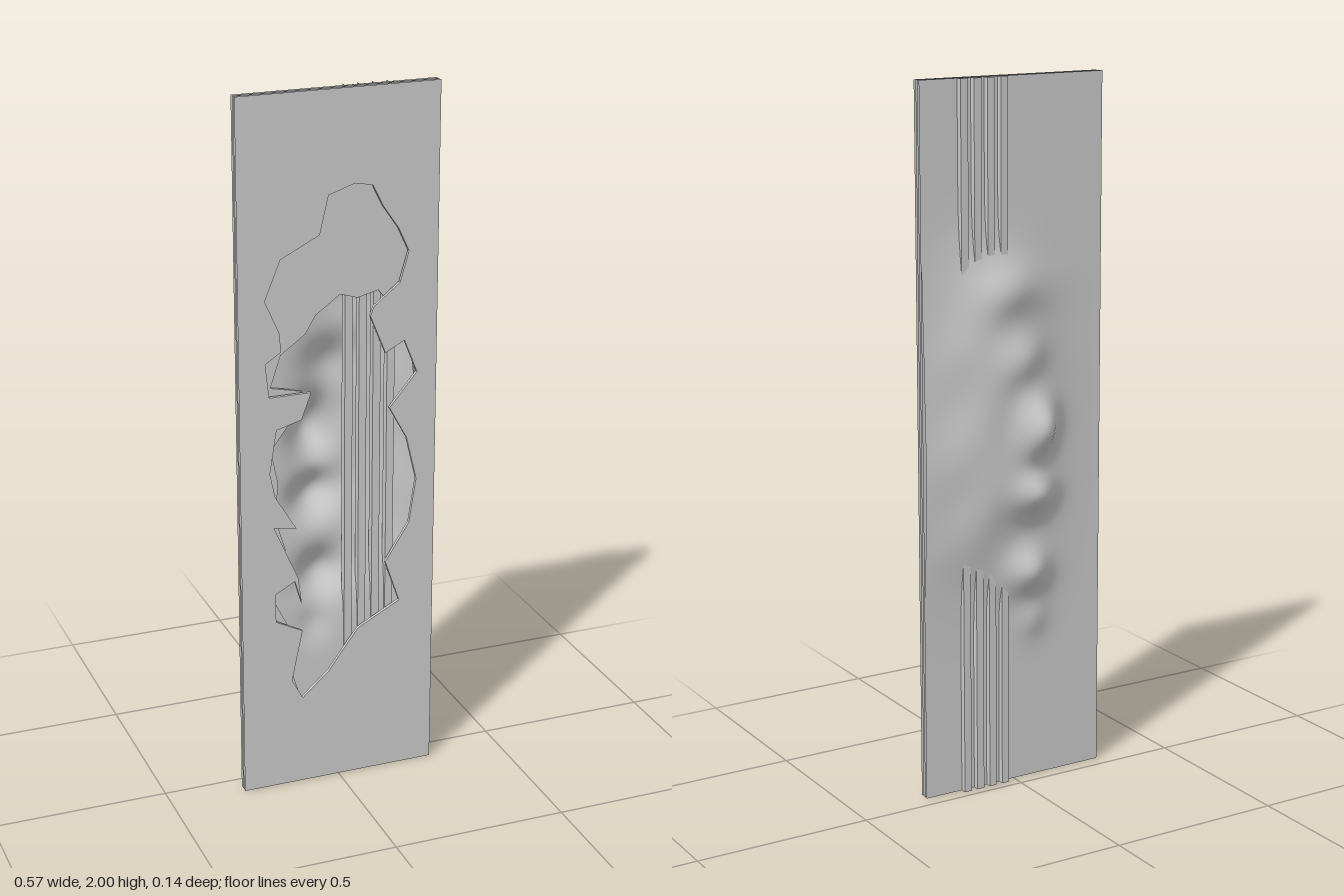
import * as THREE from 'three';

const grey = new THREE.MeshStandardMaterial({ color: 0xcccccc });
const greyDouble = new THREE.MeshStandardMaterial({ color: 0xcccccc, side: THREE.DoubleSide });
const greyFlat = new THREE.MeshStandardMaterial({ color: 0xcccccc, flatShading: true });

const W = 0.57, H = 2;

// Ragged openings, clockwise from the top, in hundredths of a unit
const FRONT_HOLE = [
  [-3, 172], [4.5, 174.5], [9.5, 173.5], [12.5, 167.5], [17, 161], [20, 154.5], [17.5, 146],
  [10, 140], [9, 137.5], [13.5, 126.5], [19, 129.5], [22.8, 120], [14.8, 110.5], [20, 101],
  [23, 88.5], [21, 75.5], [14, 64.5], [18.3, 52], [6, 45.5], [2.5, 41], [-3, 33.5], [-10.8, 26.5],
  [-14, 32.5], [-10.8, 47.5], [-18.6, 51.5], [-18.6, 60], [-13, 63], [-11, 56], [-12, 64], [-19, 80],
  [-12.5, 79], [-18.5, 89], [-20, 96], [-18, 108.5], [-10.8, 110.5], [-8, 118], [-20, 118],
  [-21, 127.5], [-16.5, 130.5], [-17, 136], [-21, 145], [-16.5, 156], [-5.5, 161.5]];
const REAR_HOLE = [
  [1, 144], [6, 142.5], [12, 144], [18, 136], [22, 126], [24, 108], [25, 88], [22, 66], [20, 48],
  [9, 36], [-2, 24], [-9, 20], [-14, 36], [-13, 46], [-18, 56], [-18, 64], [-15, 72], [-18, 82],
  [-17, 92], [-19, 102], [-13, 110], [-10, 118], [-19, 120], [-16, 129], [-9, 134], [-6, 139]];

// Thin sheet: two pierced faces and the cut wall of the opening
function pierced(name, outline, zBack, zFront) {
  const group = new THREE.Group();
  group.name = name;
  const pts = outline.map(([x, y]) => new THREE.Vector2(x / 100, y / 100));
  const shape = new THREE.Shape([
    new THREE.Vector2(-W / 2, 0), new THREE.Vector2(W / 2, 0),
    new THREE.Vector2(W / 2, H), new THREE.Vector2(-W / 2, H)]);
  shape.holes.push(new THREE.Path(pts));
  for (const z of [zBack, zFront]) {
    const face = new THREE.Mesh(new THREE.ShapeGeometry(shape), greyDouble);
    face.name = z === zFront ? 'sheetFront' : 'sheetBack';
    face.position.z = z;
    group.add(face);
  }
  const pos = [];
  pts.forEach((a, i) => {
    const b = pts[(i + 1) % pts.length];
    pos.push(a.x, a.y, zFront, b.x, b.y, zBack, b.x, b.y, zFront);
    pos.push(a.x, a.y, zFront, a.x, a.y, zBack, b.x, b.y, zBack);
  });
  const wallGeo = new THREE.BufferGeometry();
  wallGeo.setAttribute('position', new THREE.Float32BufferAttribute(pos, 3));
  wallGeo.computeVertexNormals();
  const wall = new THREE.Mesh(wallGeo, grey);
  wall.name = 'openingWall';
  group.add(wall);
  return group;
}

// Relief bumps: x, y, width, height, depth
const BUMPS = [
  [-0.05, 1.05, 0.05, 0.065, 0.09],
  [-0.05, 0.85, 0.05, 0.045, 0.066],
  [-0.04, 0.62, 0.05, 0.05, 0.05],
  [-0.06, 0.48, 0.035, 0.04, 0.015],
  [-0.01, 1.24, 0.06, 0.05, 0.025],
  [0.02, 1.42, 0.08, 0.05, 0.024],
  [0.27, 0.95, 0.08, 0.2, 0.01]];

function reliefZ(x, y) {
  let d = 0.055 * Math.exp(-0.5 * ((x - 0.08) / 0.1) ** 2 - ((y - 1.08) / 0.42) ** 4);
  for (const [cx, cy, sx, sy, a] of BUMPS)
    d += a * Math.exp(-0.5 * (((x - cx) / sx) ** 2 + ((y - cy) / sy) ** 2));
  // gentle ripples that fade with the relief
  d *= 1 + 0.1 * Math.sin(22 * y + 9 * x) * Math.cos(14 * x);
  return 0.042 - d;
}

export function createModel() {
  const model = new THREE.Group();
  model.name = 'layeredReliefPanel';
  model.add(pierced('frontSheet', FRONT_HOLE, 0.06, 0.07));
  model.add(pierced('rearSheet', REAR_HOLE, 0.043, 0.052));

  // Smooth hollow relief behind the sheets
  const geo = new THREE.PlaneGeometry(W, H, 50, 170).translate(0, H / 2, 0);
  const p = geo.attributes.position;
  for (let i = 0; i < p.count; i++) p.setZ(i, reliefZ(p.getX(i), p.getY(i)));
  geo.computeVertexNormals();
  const relief = new THREE.Mesh(geo, greyDouble);
  relief.name = 'relief';
  model.add(relief);

  // Four upright square bars, open at the ends
  const barGeo = new THREE.CylinderGeometry(0.0158, 0.0158, H, 4, 1, true).rotateY(Math.PI / 4);
  for (let i = 0; i < 4; i++) {
    const bar = new THREE.Mesh(barGeo, greyFlat);
    bar.name = 'bar' + (i + 1);
    bar.position.set(0.037 + i * 0.041, H / 2, 0.0355);
    model.add(bar);
  }
  return model;
}
